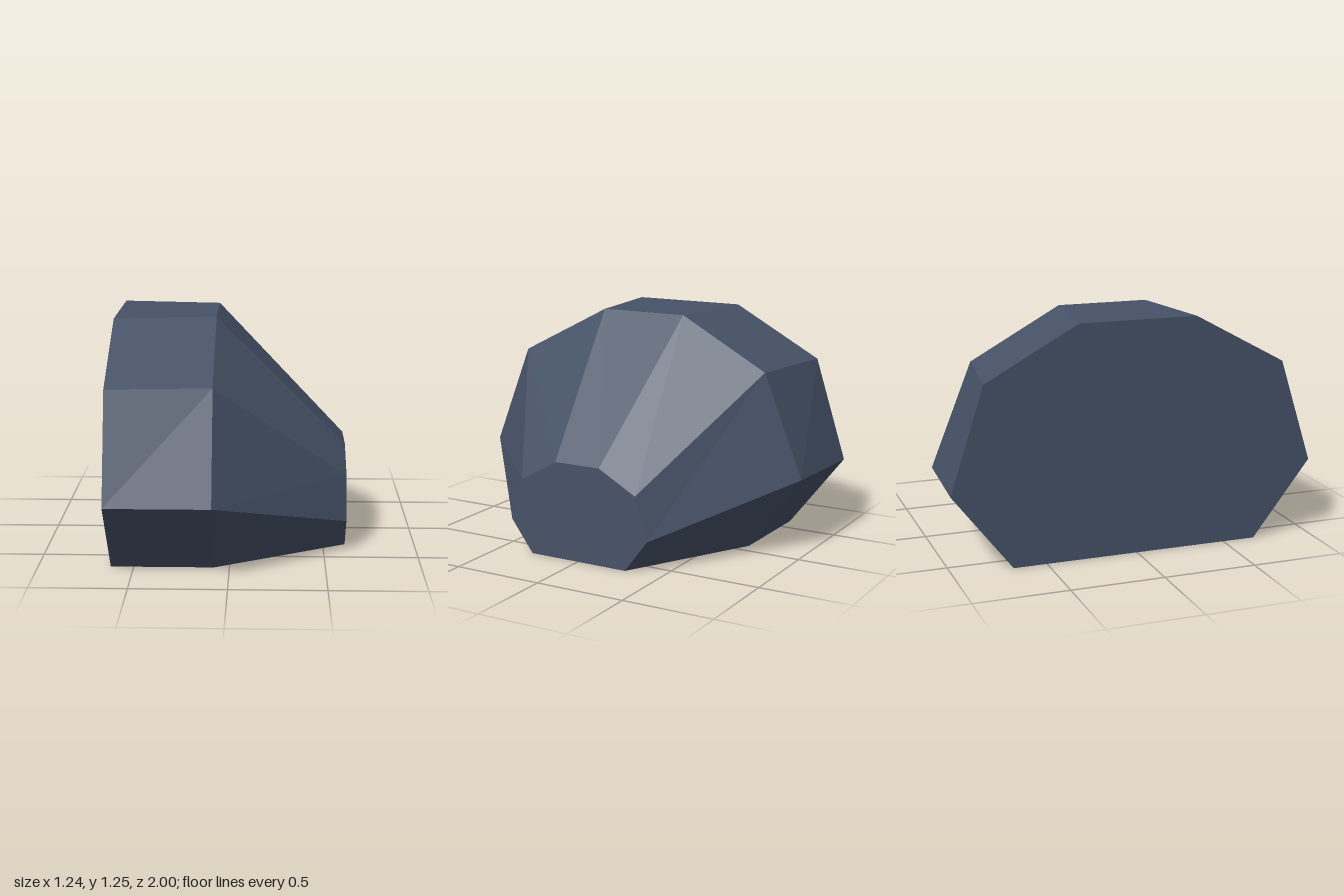
import * as THREE from 'three';

// Cross-sections along x; each runs [z, y] from the back foot over the top to the front foot
const sections = [
  { x: -0.62, ring: [[-0.68, 0], [-1, 0.415], [-0.82, 0.977], [-0.32, 1.25], [0.32, 1.25], [0.82, 0.977], [1, 0.415], [0.68, 0]] },
  { x: -0.08, ring: [[-0.67, 0], [-0.97, 0.415], [-0.745, 0.977], [-0.25, 1.25], [0.25, 1.25], [0.78, 0.977], [1, 0.415], [0.68, 0]] },
  { x: 0.62, ring: [[-0.29, 0], [-0.42, 0.175], [-0.35, 0.41], [-0.135, 0.53], [0.135, 0.53], [0.35, 0.41], [0.42, 0.175], [0.29, 0]] },
];

function loftGeometry() {
  const rings = sections.map(({ x, ring }) => ring.map(([z, y]) => [x, y, z]));
  const n = rings[0].length;
  const positions = [];
  const tri = (...corners) => corners.forEach((c) => positions.push(...c));

  // Side facets between neighbouring sections, including the flat base
  for (let s = 0; s < rings.length - 1; s++) {
    const a = rings[s], b = rings[s + 1];
    for (let i = 0; i < n; i++) {
      const j = (i + 1) % n;
      tri(a[i], a[j], b[i]);
      tri(a[j], b[j], b[i]);
    }
  }

  // Large and small end caps
  const first = rings[0], last = rings[rings.length - 1];
  for (let i = 1; i < n - 1; i++) {
    tri(first[0], first[i + 1], first[i]);
    tri(last[0], last[i], last[i + 1]);
  }

  const geometry = new THREE.BufferGeometry();
  geometry.setAttribute('position', new THREE.Float32BufferAttribute(positions, 3));
  geometry.computeVertexNormals();
  return geometry;
}

export function createModel() {
  const slate = new THREE.MeshStandardMaterial({ color: 0x465267, flatShading: true });
  slate.name = 'slate';

  const body = new THREE.Mesh(loftGeometry(), slate);
  body.name = 'facetedBody';

  const model = new THREE.Group();
  model.name = 'facetedBlock';
  model.add(body);
  return model;
}
